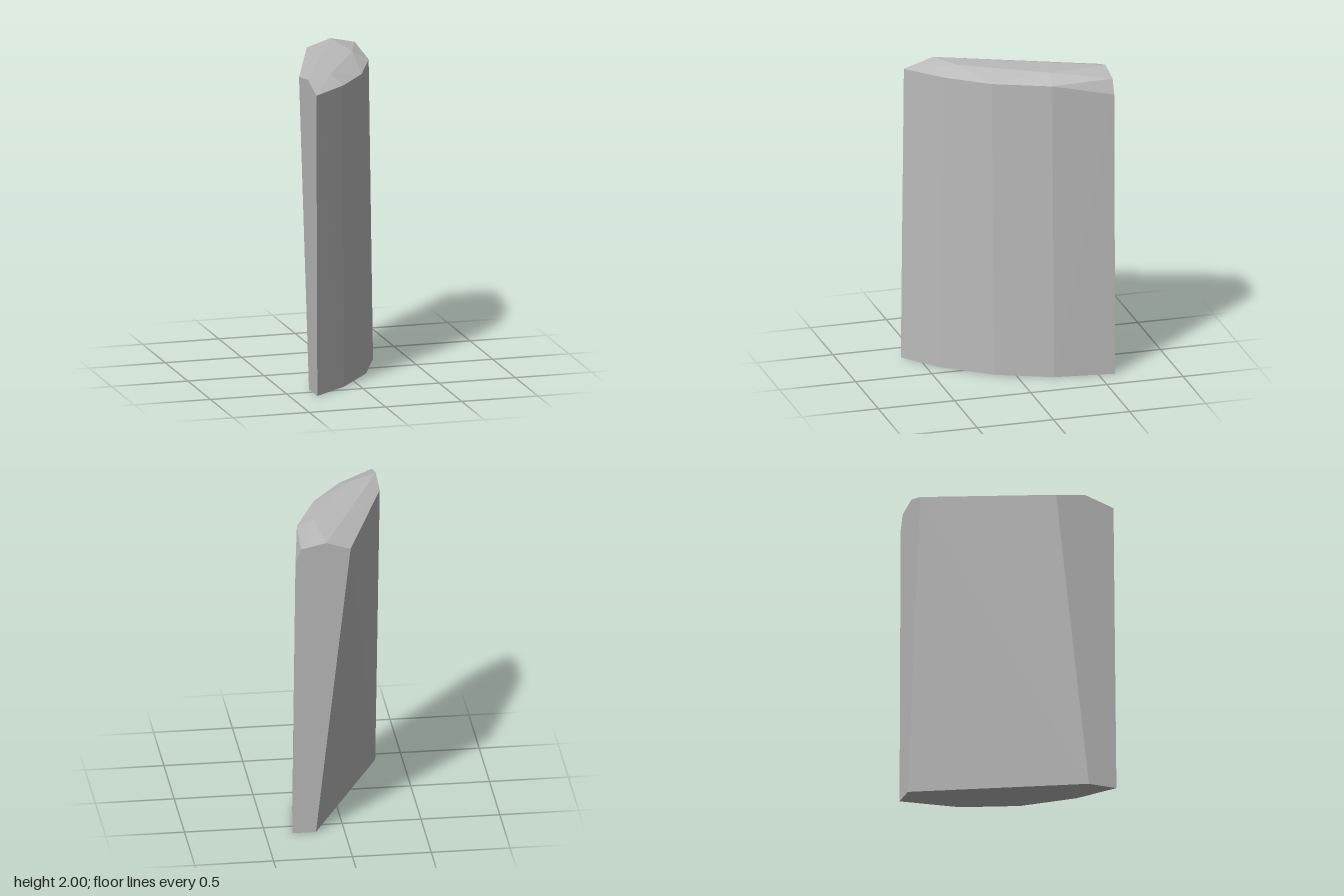
import * as THREE from 'three';
import { ConvexGeometry } from 'three/addons/geometries/ConvexGeometry.js';

const toPoints = (list) => list.map(([x, y, z]) => new THREE.Vector3(x, y, z));

export function createModel() {
  const stone = new THREE.MeshStandardMaterial({ color: 0xbababa });
  stone.name = 'grey stone';

  // Footprint: curved outer side, then the two inner corners
  const base = [
    [-0.33, 0, 0.605], [-0.1, 0, 0.42], [0.13, 0, 0.13], [0.28, 0, -0.22], [0.33, 0, -0.605],
    [0.18, 0, -0.605], [-0.33, 0, 0.42],
  ];

  // Upper rim of the walls, with a chipped corner at the back
  const rim = [
    [-0.33, 1.94, 0.585], [-0.095, 1.945, 0.39], [0.1, 1.945, 0.137], [0.25, 1.945, -0.215],
    [0.31, 1.87, -0.605], [0.274, 1.965, -0.605],
    [-0.04, 1.95, -0.605], [-0.33, 1.97, 0.2],
  ];

  // Flat crown inside the bevel
  const crown = [
    [-0.33, 2, 0.395], [-0.147, 2, 0.283], [0.148, 2, -0.235], [0.115, 2, -0.605],
  ];

  const slab = new THREE.Mesh(new ConvexGeometry(toPoints([...base, ...rim, ...crown])), stone);
  slab.name = 'stoneSlab';

  const group = new THREE.Group();
  group.name = 'curvedStoneSlab';
  group.add(slab);
  return group;
}
